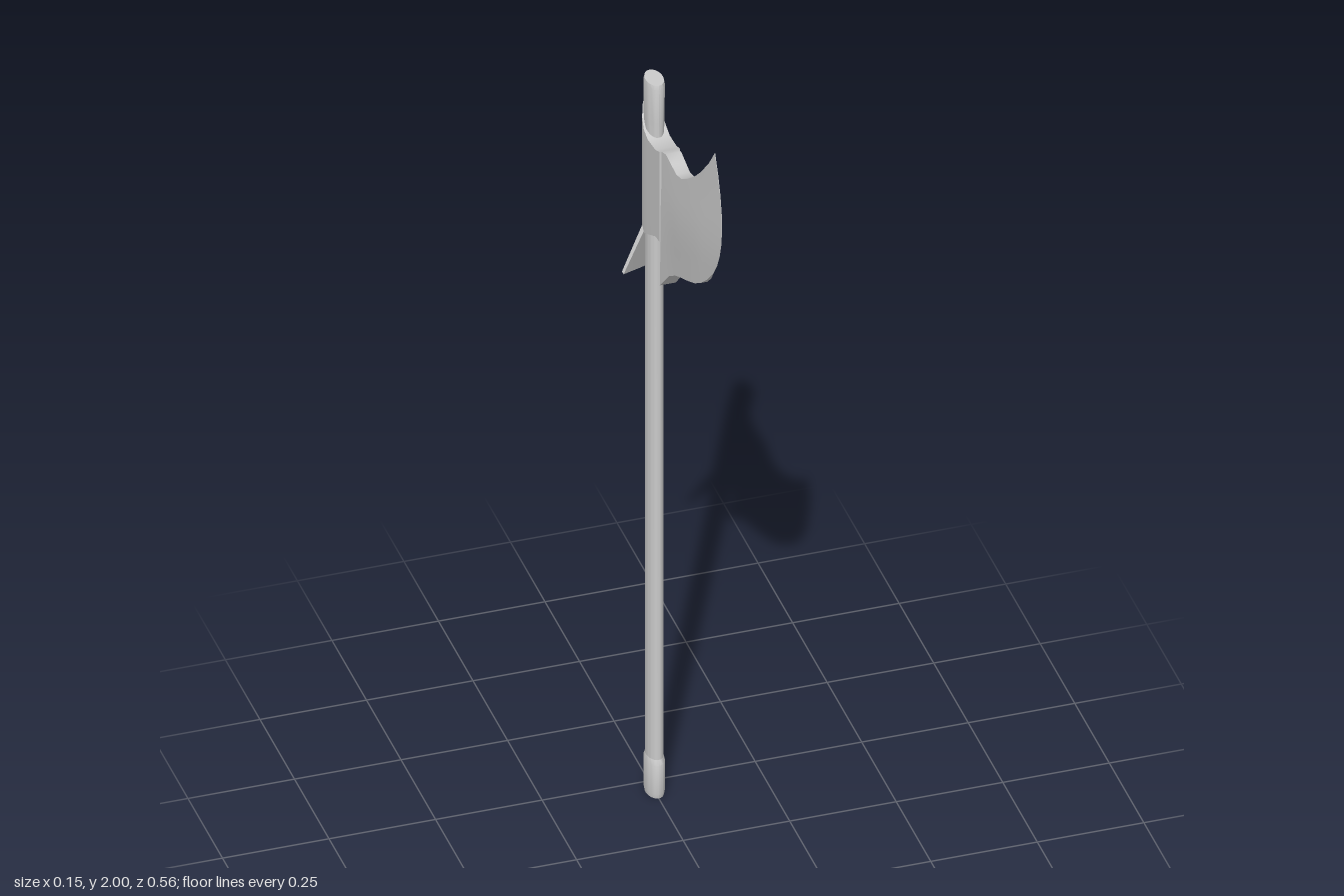
import * as THREE from 'three';
import { toCreasedNormals } from 'three/addons/utils/BufferGeometryUtils.js';

const material = new THREE.MeshStandardMaterial({ color: 0xcccccc });

function addMesh(group, name, geometry) {
  const mesh = new THREE.Mesh(toCreasedNormals(geometry, 0.6), material);
  mesh.name = name;
  group.add(mesh);
  return mesh;
}

// Closed skin over equal-sized rings of [x, y, z], capped at both ends
function loft(rings) {
  const m = rings[0].length, last = (rings.length - 1) * m, index = [];
  for (let i = 0; i < rings.length - 1; i++) {
    for (let j = 0; j < m; j++) {
      const k = (j + 1) % m;
      const a = i * m + j, b = i * m + k, c = a + m, d = b + m;
      index.push(a, c, b, b, c, d);
    }
  }
  for (let j = 0; j < m / 2 - 1; j++) {
    const p = m - 2 - j, q = m - 1 - j;
    index.push(j, j + 1, p, j, p, q);
    index.push(last + j, last + p, last + j + 1, last + j, last + q, last + p);
  }
  const geometry = new THREE.BufferGeometry();
  geometry.setAttribute('position', new THREE.Float32BufferAttribute(rings.flat(2), 3));
  geometry.setIndex(index);
  return geometry;
}

// Mirrored slab section through a top, middle and bottom point in the z-y plane
function section([zt, yt, zm, ym, zb, yb, edge, middle], rows = 8) {
  const side = [];
  for (let r = 0; r <= rows; r++) {
    const t = r / rows;
    const a = (1 - t) * (1 - 2 * t), b = 4 * t * (1 - t), c = t * (2 * t - 1);
    const w = edge + (middle - edge) * Math.min(1, 2.5 * Math.min(t, 1 - t));
    side.push([w, a * yt + b * ym + c * yb, a * zt + b * zm + c * zb]);
  }
  return [...side, ...side.slice().reverse().map(([x, y, z]) => [-x, y, z])];
}

// Oval turned part around the pole axis, from [radius, y] points
function turned(points) {
  const profile = points.map(([r, y]) => new THREE.Vector2(r, y));
  return new THREE.LatheGeometry(profile, 32).scale(0.6, 1, 1).translate(0, 0, -0.21);
}

export function createModel() {
  const group = new THREE.Group();

  // Oval pole with a slightly wider head, and its butt cap
  addMesh(group, 'pole', turned([
    [0, 0.05], [0.032, 0.05], [0.032, 1.74], [0.036, 1.82], [0.037, 1.91], [0.034, 1.92], [0, 1.92],
  ]));
  addMesh(group, 'buttCap', turned([
    [0, 0], [0.034, 0], [0.037, 0.012], [0.037, 0.09], [0.032, 0.102],
  ]));

  // Socket wrapped around the pole, rising to a peak at the back: [z, top, bottom, half width]
  const socket = [
    [-0.256, 1.886, 1.49, 0.002],
    [-0.25, 1.855, 1.49, 0.009],
    [-0.24, 1.835, 1.495, 0.017],
    [-0.225, 1.81, 1.5, 0.0235],
    [-0.205, 1.79, 1.51, 0.026],
    [-0.177, 1.78, 1.525, 0.026],
    [-0.124, 1.786, 1.553, 0.025],
    [-0.097, 1.797, 1.555, 0.024],
  ];
  addMesh(group, 'socket', loft(socket.map(([z, top, bottom, w]) =>
    section([z, top, z, (top + bottom) / 2, z, bottom, w, w]))));

  // Blade thinning to the curved cutting edge, with a spur at its lower rear
  const blade = [
    [-0.097, 1.797, -0.09, 1.615, -0.111, 1.428, 0.019, 0.024],
    [-0.07, 1.807, -0.065, 1.64, -0.085, 1.455, 0.018, 0.023],
    [-0.035, 1.802, -0.033, 1.655, -0.05, 1.492, 0.017, 0.022],
    [0, 1.797, 0, 1.665, -0.008, 1.52, 0.016, 0.022],
    [0.034, 1.807, 0.04, 1.68, 0.027, 1.537, 0.015, 0.0215],
    [0.077, 1.835, 0.088, 1.705, 0.075, 1.558, 0.013, 0.02],
    [0.12, 1.87, 0.138, 1.735, 0.115, 1.577, 0.01, 0.0175],
    [0.152, 1.9, 0.18, 1.76, 0.15, 1.6, 0.008, 0.0135],
    [0.2, 1.955, 0.235, 1.793, 0.19, 1.635, 0.004, 0.007],
    [0.23, 2, 0.28, 1.823, 0.22, 1.67, 0.0005, 0.0005],
  ];
  addMesh(group, 'blade', loft(blade.map((s) => section(s))));

  // Flared V-shaped fin below the back of the socket
  const wing = (s) => [
    [s * 0.026, 1.52, -0.22], [s * 0.074, 1.41, -0.215],
    [s * 0.073, 1.408, -0.206], [s * 0.022, 1.52, -0.208],
  ];
  const spine = [[0, 1.51, -0.255], [0, 1.376, -0.28], [0, 1.38, -0.265], [0, 1.51, -0.238]];
  addMesh(group, 'rearFin', loft([wing(-1), spine, wing(1)]));

  return group;
}
